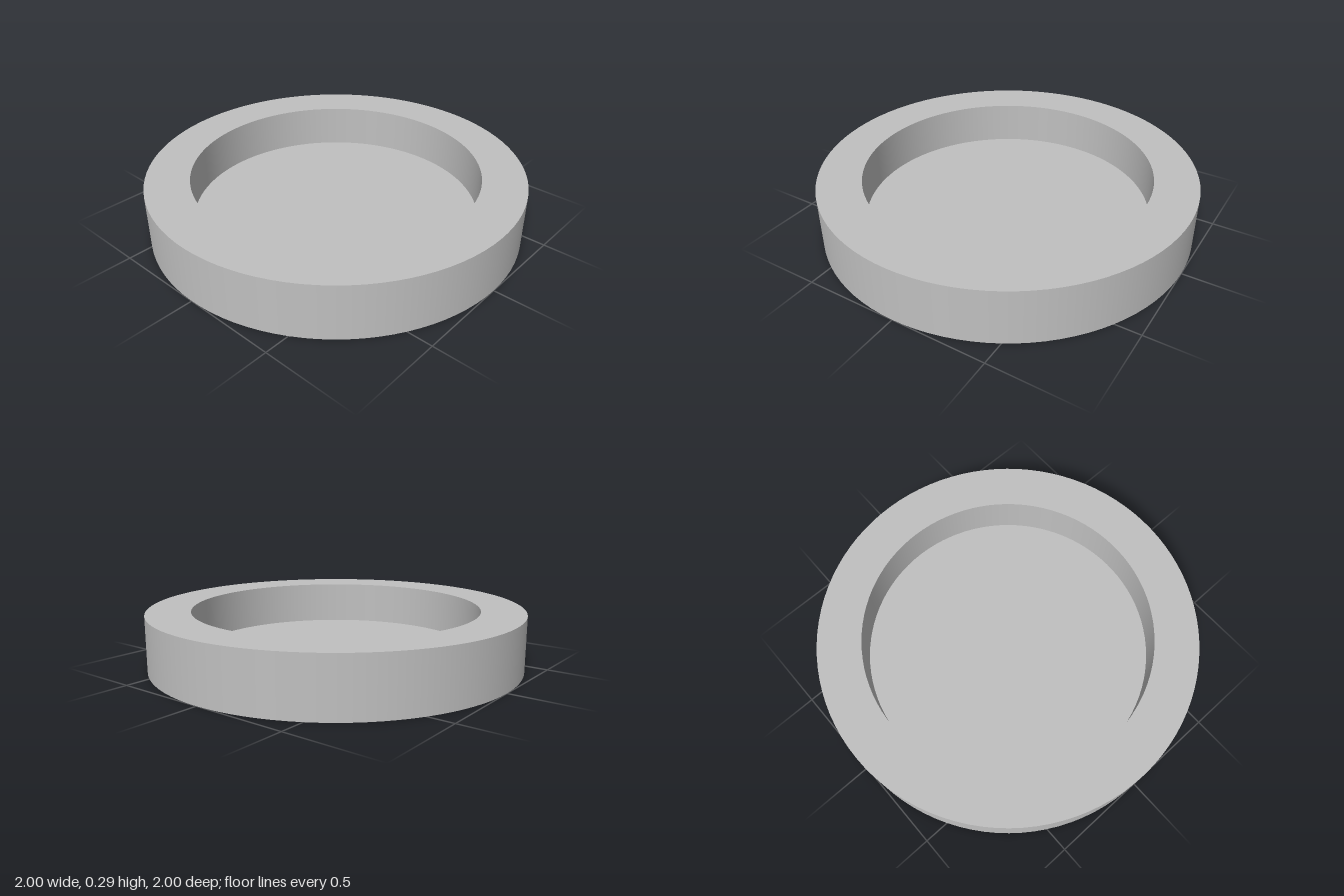
import * as THREE from 'three';

const HEIGHT = 0.295, OUTER = 1, INNER = 0.767, FLOOR = 0.06;
const HOLE_RADIUS = 0.067, HOLE_RING = 0.884, HOLE_DEPTH = 0.2;

// Revolves each straight piece of a profile on its own, so corners stay sharp.
function revolve(name, points, segments, material) {
  const group = new THREE.Group();
  group.name = name;
  for (let i = 0; i < points.length - 1; i++) {
    const piece = [points[i], points[i + 1]].map(([r, y]) => new THREE.Vector2(r, y));
    const mesh = new THREE.Mesh(new THREE.LatheGeometry(piece, segments), material);
    mesh.name = `${name}Face${i + 1}`;
    group.add(mesh);
  }
  return group;
}

export function createModel() {
  const model = new THREE.Group();
  model.name = 'roundTray';
  const grey = new THREE.MeshStandardMaterial({ color: 0xc0c0c0 });
  grey.name = 'grey';

  // Outer wall, rim, recess wall and recess floor
  model.add(revolve('dish', [
    [OUTER, 0], [OUTER, HEIGHT], [INNER, HEIGHT], [INNER, FLOOR], [0, FLOOR],
  ], 96, grey));

  // Underside with three evenly spaced blind holes beneath the rim
  const underside = new THREE.Shape().absarc(0, 0, OUTER, 0, Math.PI * 2);
  for (let i = 0; i < 3; i++) {
    const angle = (i * Math.PI * 2) / 3;
    const x = HOLE_RING * Math.cos(angle), z = HOLE_RING * Math.sin(angle);
    underside.holes.push(new THREE.Path().absarc(x, z, HOLE_RADIUS, 0, Math.PI * 2, true));
    const hole = revolve('blindHole', [
      [0, HOLE_DEPTH], [HOLE_RADIUS, HOLE_DEPTH], [HOLE_RADIUS, 0],
    ], 48, grey);
    hole.position.set(x, 0, z);
    model.add(hole);
  }
  const base = new THREE.Mesh(new THREE.ShapeGeometry(underside, 48), grey);
  base.name = 'underside';
  base.rotation.x = Math.PI / 2;
  model.add(base);

  return model;
}
